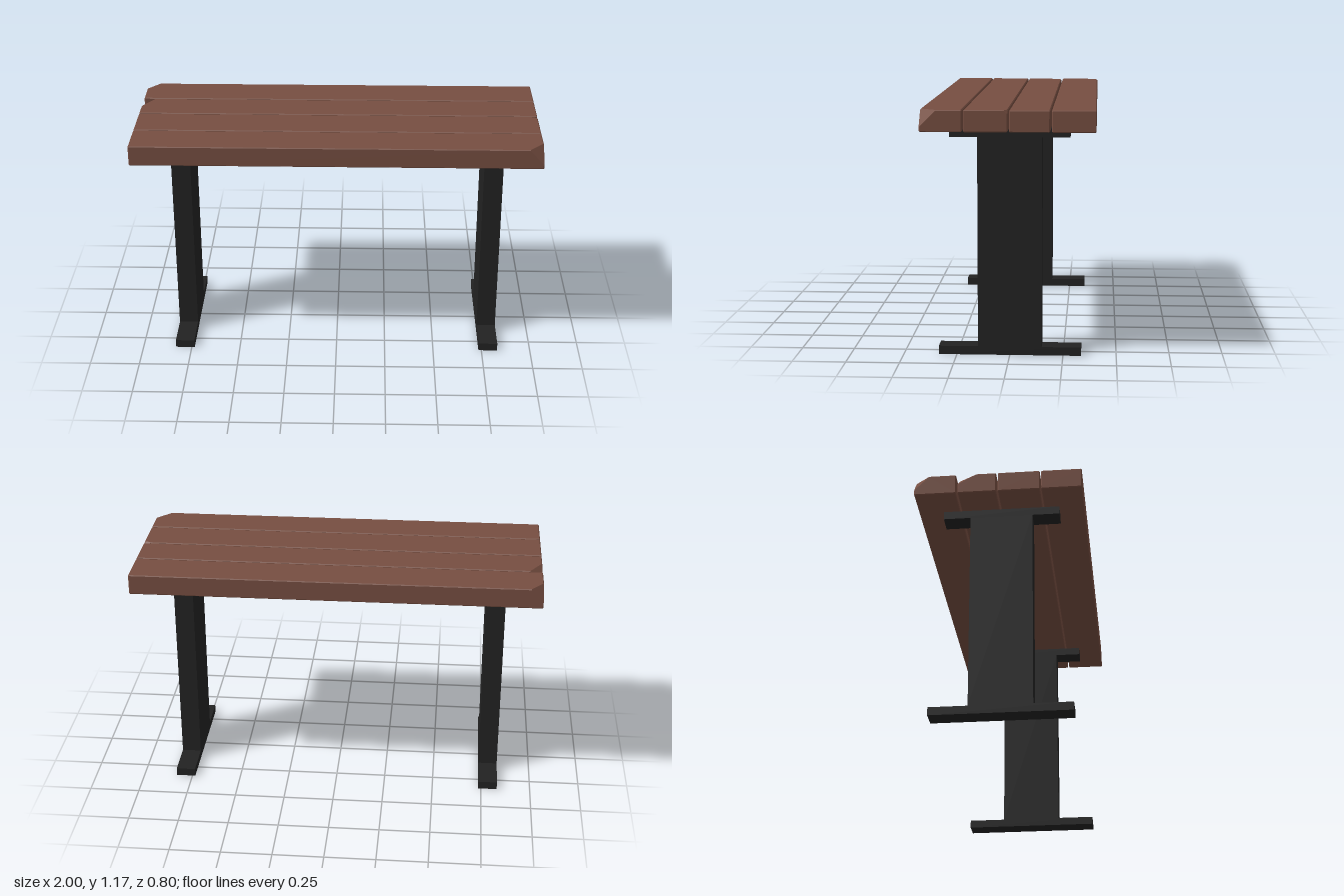
import * as THREE from 'three';
import { ConvexGeometry } from 'three/addons/geometries/ConvexGeometry.js';

const BEVEL = 0.004;

// Plank with a fine bevel; chips maps a corner such as '1,1,1' to cut sizes along x, y and z.
function plankGeometry(zMin, zMax, chips) {
  const lo = [-1, 1.07, zMin], hi = [1, 1.17, zMax];
  const points = [];
  for (const sx of [-1, 1]) for (const sy of [-1, 1]) for (const sz of [-1, 1]) {
    const signs = [sx, sy, sz];
    const cut = chips[signs.join()] || [BEVEL, BEVEL, BEVEL];
    for (let a = 0; a < 3; a++) for (let b = 0; b < 3; b++) {
      if (a === b) continue;
      // Slide along axis a by the cut, and inset axis b by the bevel
      const inset = [0, 0, 0];
      inset[a] = cut[a];
      inset[b] = BEVEL;
      points.push(new THREE.Vector3(...signs.map((s, i) => (s > 0 ? hi[i] : lo[i]) - s * inset[i])));
    }
  }
  return new ConvexGeometry(points);
}

export function createModel() {
  const group = new THREE.Group();
  const wood = new THREE.MeshStandardMaterial({ color: 0x764e41 });
  wood.name = 'brown wood';
  const metal = new THREE.MeshStandardMaterial({ color: 0x222222 });
  metal.name = 'black metal';

  // Four planks, some with broken corners
  const planks = [
    ['frontPlank', 0.207, 0.4, { '1,1,1': [0.07, 0.075, 0.075] }],
    ['innerFrontPlank', 0.0, 0.2, { '1,1,-1': [0.03, 0.015, 0.015] }],
    ['innerBackPlank', -0.192, -0.008, { '-1,1,-1': [0.06, 0.05, 0.09] }],
    ['backPlank', -0.4, -0.2, { '-1,1,-1': [0.06, 0.07, 0.07] }],
  ];
  for (const [name, z0, z1, chips] of planks) {
    const plank = new THREE.Mesh(plankGeometry(z0, z1, chips), wood);
    plank.name = name;
    group.add(plank);
  }

  // Two legs: foot bar, flat post and top bracket
  for (const side of [-1, 1]) {
    const leg = new THREE.Group();
    leg.name = side > 0 ? 'leftLeg' : 'rightLeg';
    leg.position.x = side * 0.783;
    for (const [name, y0, y1, depth] of [
      ['foot', 0, 0.04, 0.67],
      ['post', 0.04, 1.03, 0.3],
      ['bracket', 1.03, 1.07, 0.56],
    ]) {
      const part = new THREE.Mesh(new THREE.BoxGeometry(0.096, y1 - y0, depth), metal);
      part.name = name;
      part.position.y = (y0 + y1) / 2;
      leg.add(part);
    }
    group.add(leg);
  }
  return group;
}
